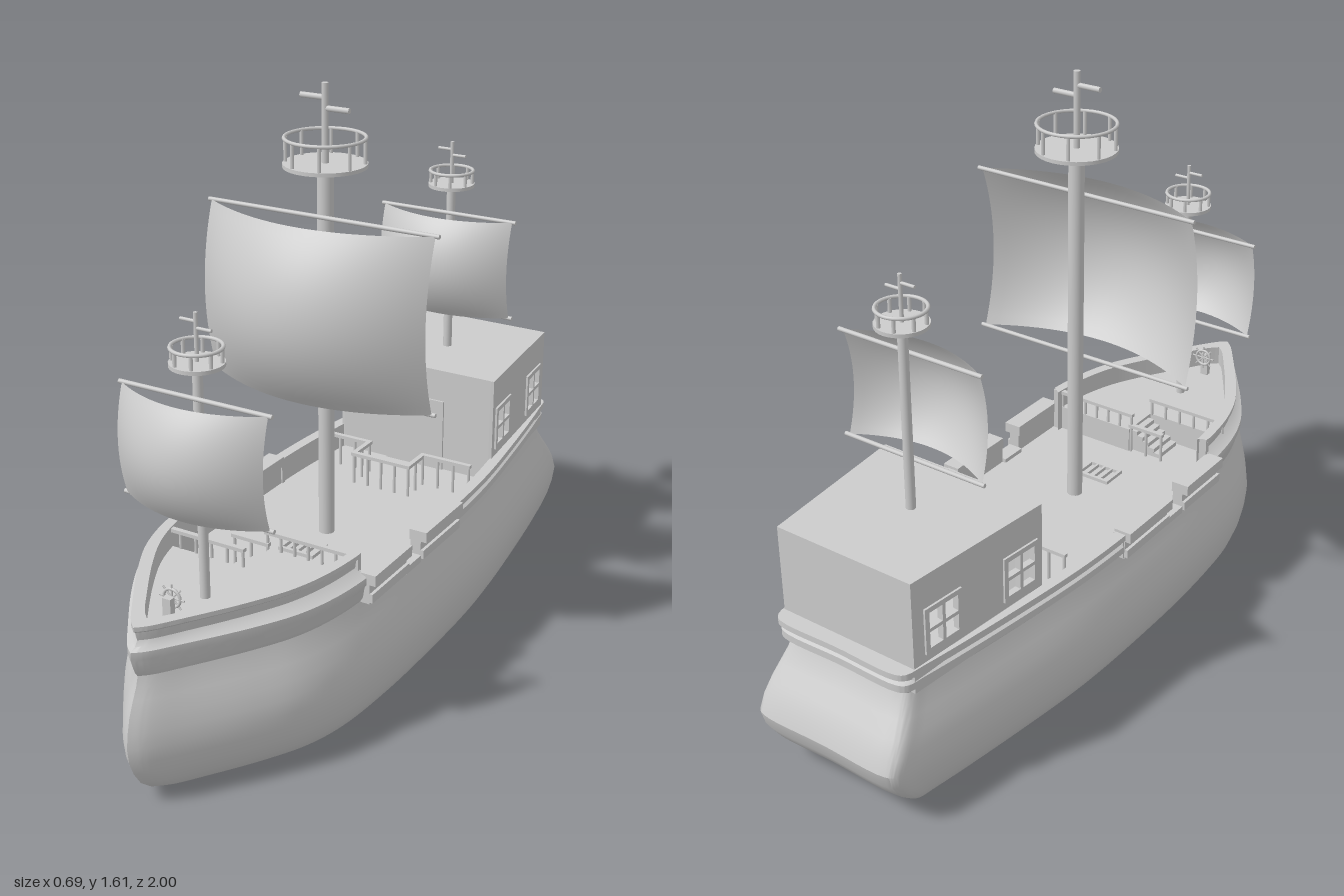
import * as THREE from 'three';
import { toCreasedNormals } from 'three/addons/utils/BufferGeometryUtils.js';

const mat = new THREE.MeshStandardMaterial({ color: 0xcccccc });
const matDouble = new THREE.MeshStandardMaterial({ color: 0xcccccc, side: THREE.DoubleSide });

// Half plan outline of the ship from bow to stern: [x, t], t along the length
const half = new THREE.CatmullRomCurve3([
  [0, 1], [.03, .975], [.09, .9], [.2, .75], [.27, .63], [.31, .5], [.33, .3], [.335, .05],
  [.325, -.3], [.29, -.6], [.24, -.92], [.225, -.985], [.2, -1], [0, -1],
].map(([x, t]) => new THREE.Vector3(x, 0, t)), false, 'centripetal').getPoints(78).map(p => [p.x, p.z]);
const mirror = pts => pts.map(([x, t]) => [-x, t]).reverse();
const loop = [...half, ...mirror(half).slice(1, -1)];

function halfWidth(t) {
  const i = half.findIndex(p => p[1] <= t);
  const [a, b] = [half[i - 1], half[i]];
  return a[0] + (b[0] - a[0]) * (a[1] - t) / (a[1] - b[1]);
}

// Places an outline point on a level [y, width scale, stern z, bow z]
const place = ([x, t], [y, s, zb, zf]) => [x * s, y, t > 0 ? t * zf : -t * zb];

// Surface through one outline placed at successive levels
function loft(path, levels, { closed = false, bottom = false, top = false } = {}) {
  const pos = [], idx = [], n = path.length;
  for (const l of levels) for (const p of path) pos.push(...place(p, l));
  for (let j = 0; j < levels.length - 1; j++) {
    for (let i = 0; i < (closed ? n : n - 1); i++) {
      const k = (i + 1) % n, a = j * n + i, b = j * n + k;
      idx.push(a, b, b + n, a, b + n, a + n);
    }
  }
  const cap = (row, up) => {
    const c = pos.length / 3;
    pos.push(0, levels[row][0], 0);
    for (let i = 0; i < n; i++) {
      const a = row * n + i, b = row * n + (i + 1) % n;
      idx.push(c, ...(up ? [a, b] : [b, a]));
    }
  };
  if (bottom) cap(0, false);
  if (top) cap(levels.length - 1, true);
  const g = new THREE.BufferGeometry();
  g.setAttribute('position', new THREE.Float32BufferAttribute(pos, 3));
  g.setIndex(idx);
  return toCreasedNormals(g, .6);
}

function add(parent, name, geo, x = 0, y = 0, z = 0, material = mat) {
  const m = new THREE.Mesh(geo, material);
  m.name = name;
  m.position.set(x, y, z);
  parent.add(m);
  return m;
}
const group = (parent, name) => {
  const g = new THREE.Group();
  g.name = name;
  parent.add(g);
  return g;
};
// Box given by its minimum and maximum corners
const box = (parent, name, x0, x1, y0, y1, z0, z1) =>
  add(parent, name, new THREE.BoxGeometry(x1 - x0, y1 - y0, z1 - z0), (x0 + x1) / 2, (y0 + y1) / 2, (z0 + z1) / 2);
const cyl = (r, h, n = 16) => new THREE.CylinderGeometry(r, r, h, n);
const rect = (C, x0, x1, y0, y1) =>
  new C([[x0, y0], [x1, y0], [x1, y1], [x0, y1]].map(p => new THREE.Vector2(...p)));
const extrude = (shape, depth) => new THREE.ExtrudeGeometry(shape, { depth, bevelEnabled: false });

// Handrail with balusters along a path of [x, z] corners
function railing(parent, name, corners, y0, y1) {
  const g = group(parent, name);
  for (let i = 0; i < corners.length - 1; i++) {
    const [ax, az] = corners[i], [bx, bz] = corners[i + 1];
    const len = Math.hypot(bx - ax, bz - az), n = Math.max(1, Math.round(len / .045));
    const r = add(g, 'handrail', new THREE.BoxGeometry(len + .012, .01, .014), (ax + bx) / 2, y1 - .005, (az + bz) / 2);
    r.rotation.y = -Math.atan2(bz - az, bx - ax);
    for (let k = 0; k <= n; k++)
      add(g, 'baluster', cyl(.0045, y1 - y0, 8), ax + (bx - ax) * k / n, (y0 + y1) / 2, az + (bz - az) * k / n);
  }
}

// Mast with lookout, top pole, yards and a billowing sail
function mast(parent, name, { z, r, y0, nestY, nestR, nestH, topY, sailTop, sailBottom, sailW, bulge }) {
  const g = group(parent, name);
  g.position.z = z;
  add(g, 'mastPole', cyl(r, nestY - y0), 0, (y0 + nestY) / 2);
  add(g, 'topPole', cyl(r * .42, topY - nestY, 10), 0, (nestY + topY) / 2);
  const span = nestR * .65, h = topY - nestY;
  [[-1, .82], [1, .69]].forEach(([s, f]) => {
    add(g, 'crossbar', cyl(r * .35, span, 8), s * span / 2, nestY + h * f).rotation.z = Math.PI / 2;
  });
  add(g, 'lookoutFloor', cyl(nestR, .01, 32), 0, nestY);
  add(g, 'lookoutRail', new THREE.TorusGeometry(nestR - .005, .005, 8, 32), 0, nestY + nestH).rotation.x = Math.PI / 2;
  for (let i = 0; i < 8; i++) {
    const a = (i + .5) * Math.PI / 4, d = nestR - .007;
    add(g, 'lookoutPost', cyl(.005, nestH, 8), d * Math.cos(a), nestY + nestH / 2, d * Math.sin(a));
  }
  for (const y of [sailTop, sailBottom])
    add(g, 'yard', cyl(.006, sailW * 2 + .02, 10), 0, y, r + .005).rotation.z = Math.PI / 2;
  const sail = new THREE.PlaneGeometry(sailW * 2, sailTop - sailBottom, 24, 20), p = sail.attributes.position;
  for (let i = 0; i < p.count; i++) {
    const u = 1 - (p.getX(i) / sailW) ** 2, v = 1 - (2 * p.getY(i) / (sailTop - sailBottom)) ** 2;
    p.setZ(i, bulge * (.53 * u + .22 * v + .25 * u * v));
  }
  sail.computeVertexNormals();
  add(g, 'sail', sail, 0, (sailTop + sailBottom) / 2, r + .008, matDouble);
}

// Cabin with tapering plan and open paned windows
function cabin(parent) {
  const g = group(parent, 'cabin');
  const [y0, y1, zf, zb, wf, wb] = [.36, .675, -.43, -.885, .255, .21];
  const len = Math.hypot(zf - zb, wf - wb);
  for (const s of [1, -1]) {
    const side = group(g, s > 0 ? 'leftWall' : 'rightWall');
    side.position.set(s * wf, 0, zf);
    side.rotation.y = Math.atan2(zf - zb, -s * (wf - wb));
    const wall = rect(THREE.Shape, 0, len, y0, y1);
    for (const [a, b] of [[.02, .145], [.295, .42]]) {
      wall.holes.push(rect(THREE.Path, a + .01, b - .01, .465, .575));
      const frame = rect(THREE.Shape, a, b, .455, .585), cx = (a + b) / 2;
      for (const [l, r] of [[a + .014, cx - .005], [cx + .005, b - .014]])
        for (const [d, u] of [[.469, .515], [.525, .571]]) frame.holes.push(rect(THREE.Path, l, r, d, u));
      add(side, 'windowFrame', extrude(frame, .018), 0, 0, s > 0 ? -.012 : -.006);
    }
    add(side, 'wall', extrude(wall, .01), 0, 0, s > 0 ? -.01 : 0);
  }
  box(g, 'frontWall', -wf + .002, wf - .002, y0, y1, zf - .01, zf);
  box(g, 'backWall', -wb, wb, y0, y1, zb, zb + .01);
  box(g, 'door', -.095, .095, y0, .58, zf - .005, zf + .006);
  const roof = new THREE.Shape([[wf, zf], [wf * -1, zf], [-wb, zb], [wb, zb]].map(p => new THREE.Vector2(...p)));
  add(g, 'roof', extrude(roof, .012).rotateX(Math.PI / 2), 0, y1 + .001, 0);
}

export function createModel() {
  const ship = new THREE.Group();
  ship.name = 'sailingShip';

  // Rounded hull and main deck
  add(ship, 'hull', loft(loop, [
    [0, .74, -.83, .84], [.006, .81, -.865, .88], [.025, .87, -.895, .915], [.06, .93, -.93, .955],
    [.1, .97, -.965, .98], [.14, .99, -.99, .995], [.18, 1, -1, 1], [.22, .985, -.985, .995],
    [.26, .955, -.96, .985], [.3, .91, -.932, .968], [.33, .875, -.912, .953], [.358, .85, -.9, .945],
  ], { closed: true, bottom: true, top: true }));

  // Raised bow bulwark and moulded stern bulwark
  const foreHalf = [...half.filter(p => p[1] > .39), [halfWidth(.39), .39]];
  const foreLevels = [
    [.355, .85, -.9, .945], [.37, .875, -.9, .955], [.4, .89, -.9, .965], [.41, .91, -.9, .968],
    [.43, .91, -.9, .968], [.437, .86, -.9, .95], [.45, .81, -.9, .94], [.473, .82, -.9, .945],
    [.478, .84, -.9, .952], [.49, .84, -.9, .952], [.49, .76, -.9, .9], [.358, .76, -.9, .9]];
  add(ship, 'bowBulwark', loft([...mirror(foreHalf), ...foreHalf.slice(1)], foreLevels), 0, 0, 0, matDouble);
  const sternHalf = [[halfWidth(-.12), -.12], ...half.filter(p => p[1] < -.12)];
  add(ship, 'sternBulwark', loft([...sternHalf, ...mirror(sternHalf).slice(1)], [
    [.355, .85, -.9, 1], [.37, .87, -.905, 1], [.375, .905, -.92, 1], [.395, .905, -.92, 1],
    [.4, .88, -.908, 1], [.411, .88, -.908, 1], [.415, .915, -.927, 1], [.432, .915, -.927, 1],
    [.432, .82, -.87, 1], [.358, .82, -.87, 1]]), 0, 0, 0, matDouble);

  // Waist bulwarks with a gangway gap on each side
  for (const s of [1, -1]) {
    const slab = (name, a, b, ...rest) => box(ship, name, Math.min(s * a, s * b), Math.max(s * a, s * b), ...rest);
    for (const [z0, z1] of [[-.115, .1], [.18, .375]]) {
      slab('waistBulwark', .272, .303, .355, .43, z0, z1);
      slab('waistLowerRail', .28, .312, .36, .385, z0, z1);
      slab('waistUpperRail', .268, .32, .41, .44, z0, z1);
    }
    slab('gangwaySill', .26, .305, .35, .37, .1, .18);
    slab('bowBulwarkEnd', .247, .27, .358, .489, .362, .378);
    slab('sternBulwarkEnd', .268, .3, .358, .432, -.12, -.105);
  }

  // Raised fore deck with a notch for the stairs
  const inner = [...mirror(half), ...half.slice(1)].map(p => place(p, [0, .78, -.9, .91]));
  const rim = inner.filter(([x, , z]) => z > (x < 0 ? .49 : .37)).map(([x, , z]) => new THREE.Vector2(x, z));
  const deck = new THREE.Shape([...rim, new THREE.Vector2(.25, .37), new THREE.Vector2(0, .37),
    new THREE.Vector2(0, .49), new THREE.Vector2(-.24, .49)]);
  add(ship, 'foreDeck', extrude(deck, .075).rotateX(Math.PI / 2), 0, .432, 0);
  for (let i = 0; i < 5; i++)
    box(ship, 'stairStep', -.1 + i * .02, -.08 + i * .02, .358, .371 + i * .013, .385, .48);
  railing(ship, 'foreRailing', [[-.005, .375], [.245, .375]], .43, .486);
  railing(ship, 'stairRailing', [[-.25, .49], [-.005, .49]], .43, .486);
  railing(ship, 'stairHandrail', [[-.11, .375], [-.005, .375]], .358, .45);

  // Railing ahead of the cabin, and deck hatch
  railing(ship, 'aftRailing', [[-.24, -.31], [-.09, -.31], [-.09, -.22], [.09, -.22], [.09, -.31], [.24, -.31]], .358, .456);
  const hatch = rect(THREE.Shape, -.055, .055, .17, .25);
  for (let i = 0; i < 4; i++) hatch.holes.push(rect(THREE.Path, -.045 + i * .024, -.028 + i * .024, .18, .24));
  add(ship, 'deckHatch', extrude(hatch, .012).rotateX(Math.PI / 2), 0, .368, 0);

  cabin(ship);

  // Steering wheel on the fore deck
  const wheel = group(ship, 'steeringWheel');
  wheel.position.set(0, .495, .8);
  box(wheel, 'wheelStand', -.012, .012, -.065, .008, .006, .024);
  add(wheel, 'wheelRim', new THREE.TorusGeometry(.024, .004, 8, 24));
  for (let i = 0; i < 4; i++) add(wheel, 'wheelSpoke', cyl(.0025, .074, 6)).rotation.z = i * Math.PI / 4;

  mast(ship, 'mainMast', { z: .085, r: .022, y0: .358, nestY: 1.4, nestR: .11, nestH: .07, topY: 1.61,
    sailTop: 1.268, sailBottom: .79, sailW: .335, bulge: .2 });
  mast(ship, 'foreMast', { z: .665, r: .013, y0: .43, nestY: 1.053, nestR: .068, nestH: .042, topY: 1.18,
    sailTop: .97, sailBottom: .677, sailW: .21, bulge: .122 });
  mast(ship, 'aftMast', { z: -.63, r: .013, y0: .67, nestY: 1.182, nestR: .068, nestH: .042, topY: 1.31,
    sailTop: 1.1, sailBottom: .807, sailW: .21, bulge: .122 });

  return ship;
}
